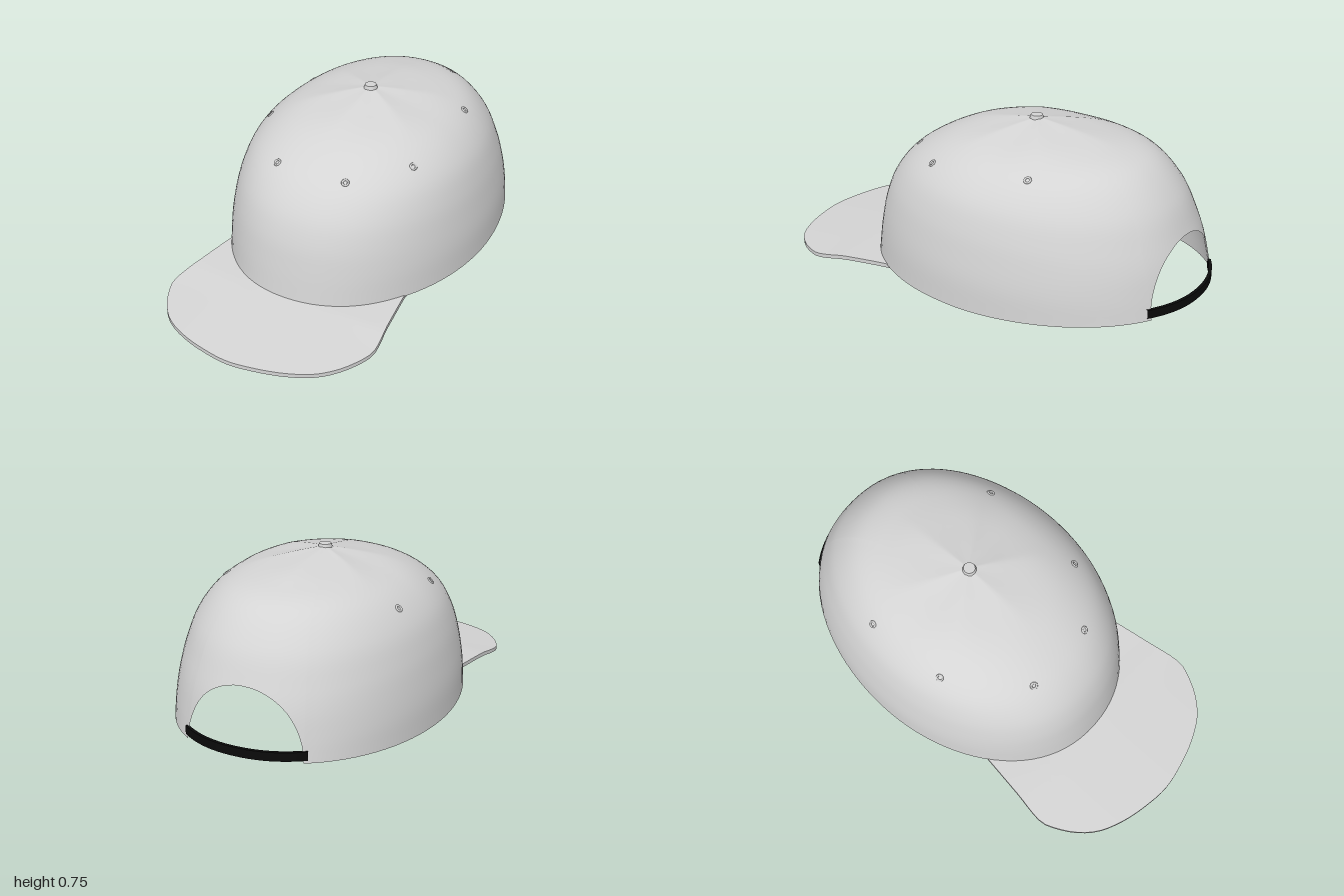
import * as THREE from 'three';
import { mergeVertices, toCreasedNormals } from 'three/addons/utils/BufferGeometryUtils.js';

const cloth = new THREE.MeshStandardMaterial({ color: 0xd4d4d4, side: THREE.DoubleSide });
cloth.name = 'light grey cloth';
const black = new THREE.MeshStandardMaterial({ color: 0x0a0a0a, side: THREE.DoubleSide });
black.name = 'black strap';

const CZ = -0.185;      // z of the crown's axis
const OPEN = 0.436;     // half angle of the rear opening
const ARCH = 0.37;      // height parameter of the opening's top

// Crown profiles as [distance from axis, height], hem to top
const curve = pts => new THREE.CatmullRomCurve3(pts.map(([r, y]) => new THREE.Vector3(r, y, 0)));
const sideProfile = curve([[0.58, 0.072], [0.575, 0.2], [0.56, 0.3], [0.535, 0.41], [0.49, 0.52],
  [0.41, 0.61], [0.3, 0.672], [0.15, 0.715], [0, 0.745]]);
const frontProfile = curve([[0.755, 0.065], [0.735, 0.2], [0.71, 0.32], [0.665, 0.43], [0.585, 0.53],
  [0.47, 0.61], [0.32, 0.675], [0.16, 0.715], [0, 0.745]]);
const backProfile = curve([[0.81, 0.115], [0.79, 0.2], [0.765, 0.3], [0.73, 0.39], [0.665, 0.52],
  [0.54, 0.645], [0.36, 0.70], [0.17, 0.728], [0, 0.745]]);

// Point on the crown: angle a (0 = front, +x at PI/2), v from hem to top
function crownPoint(a, v) {
  const s = Math.sin(a), c = Math.cos(a);
  const side = sideProfile.getPoint(v);
  const end = (c > 0 ? frontProfile : backProfile).getPoint(v);
  const w = Math.pow(Math.abs(c), 1.4);
  // shallow tucks between the six panels near the top
  const tuck = 0.006 * Math.abs(Math.sin(3 * a)) * Math.sin(Math.PI * THREE.MathUtils.clamp((v - 0.7) / 0.3, 0, 1));
  return new THREE.Vector3(
    Math.sign(s) * Math.pow(Math.abs(s), 0.93) * side.x,
    THREE.MathUtils.lerp(side.y, end.y, w) - tuck,
    CZ + c * end.x);
}

// Surface from a grid of points given by fn(column, row)
function grid(cols, rows, fn) {
  const pos = [], index = [];
  for (let i = 0; i <= cols; i++) {
    for (let j = 0; j <= rows; j++) {
      pos.push(...fn(i, j).toArray());
      if (i < cols && j < rows) {
        const k = i * (rows + 1) + j, n = k + rows + 1;
        index.push(k, n, n + 1, k, n + 1, k + 1);
      }
    }
  }
  const g = new THREE.BufferGeometry();
  g.setAttribute('position', new THREE.Float32BufferAttribute(pos, 3));
  g.setIndex(index);
  const welded = mergeVertices(g, 1e-5);
  welded.computeVertexNormals();
  return welded;
}

function add(group, name, geometry, material) {
  const mesh = new THREE.Mesh(geometry, material);
  mesh.name = name;
  group.add(mesh);
  return mesh;
}

// Crown with an arched opening at the back
function crownGeometry() {
  const angles = [];
  const around = 80, across = 24;
  for (let i = 0; i <= around; i++) {
    angles.push(-(Math.PI - OPEN) + (2 * (Math.PI - OPEN) * i) / around);
  }
  for (let i = 1; i <= across; i++) {
    angles.push(Math.PI - OPEN * Math.cos((Math.PI * i) / across));
  }
  return grid(angles.length - 1, 36, (i, j) => {
    const a = angles[i];
    const d = Math.abs(a - Math.PI) / OPEN;
    const v0 = d < 1 ? ARCH * Math.sqrt(1 - d * d) : 0;
    return crownPoint(a, v0 + ((1 - v0) * j) / 36);
  });
}

// Brim: closed section swept between the hem and the outer edge
function brimGeometry() {
  const half = [[0.5, 0.68], [0.475, 0.75], [0.43, 0.825], [0.36, 0.895], [0.25, 0.95], [0.12, 0.985]];
  const right = half.map(([x, z]) => [-x, z]);
  const pts = [[-0.445, 0.3], [-0.475, 0.5], ...right, [0, 1], ...half.reverse(), [0.475, 0.5], [0.445, 0.3]];
  const outer = new THREE.CatmullRomCurve3(pts.map(([x, z]) => new THREE.Vector3(x, 0, z)));
  const steps = 10, cols = 56, spread = 0.875;
  return toCreasedNormals(grid(cols, 2 * steps + 2, (i, j) => {
    const u = i / cols;
    const inner = crownPoint((2 * u - 1) * spread, 0);
    inner.x *= 0.985;
    inner.z -= 0.01;
    const top = j <= steps || j === 2 * steps + 2;
    const s = j === 2 * steps + 2 ? 0 : top ? j / steps : (2 * steps + 1 - j) / steps;
    const p = inner.lerp(outer.getPointAt(u), s);
    const mid = p.z < 0.55
      ? THREE.MathUtils.mapLinear(p.z, 0.3, 0.55, 0.064, 0.058)
      : THREE.MathUtils.mapLinear(p.z, 0.55, 1, 0.058, 0.009);
    const droop = 0.012 * (p.x / 0.5) ** 2 * THREE.MathUtils.smoothstep(p.z, 0.3, 0.7);
    p.y = mid - droop + (top ? 0.009 : -0.009);
    return p;
  }), 0.7);
}

// Strap: thin rectangular band completing the hem's oval
function strapGeometry() {
  const section = [[0, 0.004], [0, 0.042], [-0.014, 0.042], [-0.014, 0.004], [0, 0.004]];
  return toCreasedNormals(grid(24, 4, (i, j) => {
    const a = Math.PI + (OPEN + 0.03) * (i / 12 - 1);
    const p = crownPoint(a, 0);
    const [inset, height] = section[j];
    p.x += inset * Math.sin(a);
    p.z += inset * Math.cos(a);
    p.y = 0.116 + height;
    return p;
  }), 0.7);
}

// Nearest crown point to a plan position, with its outward normal
function findOnCrown(x, z) {
  let best = Infinity, a = 0, v = 0;
  for (let i = 0; i < 240; i++) {
    for (let j = 0; j < 80; j++) {
      const ai = (i / 240) * Math.PI * 2, vj = 0.35 + (j / 80) * 0.6;
      const p = crownPoint(ai, vj);
      const d = (p.x - x) ** 2 + (p.z - z) ** 2;
      if (d < best) { best = d; a = ai; v = vj; }
    }
  }
  const point = crownPoint(a, v);
  const da = crownPoint(a + 0.02, v).sub(crownPoint(a - 0.02, v));
  const dv = crownPoint(a, v + 0.02).sub(crownPoint(a, v - 0.02));
  return { point, normal: da.cross(dv).normalize() };
}

export function createModel() {
  const cap = new THREE.Group();
  cap.name = 'cap';

  add(cap, 'crown', crownGeometry(), cloth);
  add(cap, 'brim', brimGeometry(), cloth);
  add(cap, 'strap', strapGeometry(), black);

  // Top button
  const button = add(cap, 'button', new THREE.CylinderGeometry(0.026, 0.032, 0.02, 12), cloth);
  button.position.set(0, 0.744, CZ + 0.005);

  // Stitched air holes, one per panel
  const eyelets = new THREE.Group();
  eyelets.name = 'eyelets';
  cap.add(eyelets);
  const spots = [[0.165, 0.33], [-0.165, 0.33], [0.365, 0.105], [-0.41, 0.01], [0.37, -0.385], [-0.42, -0.37]];
  for (const [x, z] of spots) {
    const { point, normal } = findOnCrown(x, z);
    const ring = add(eyelets, 'eyelet', new THREE.TorusGeometry(0.013, 0.005, 6, 10), cloth);
    ring.position.copy(point);
    ring.quaternion.setFromUnitVectors(new THREE.Vector3(0, 0, 1), normal);
  }
  return cap;
}
